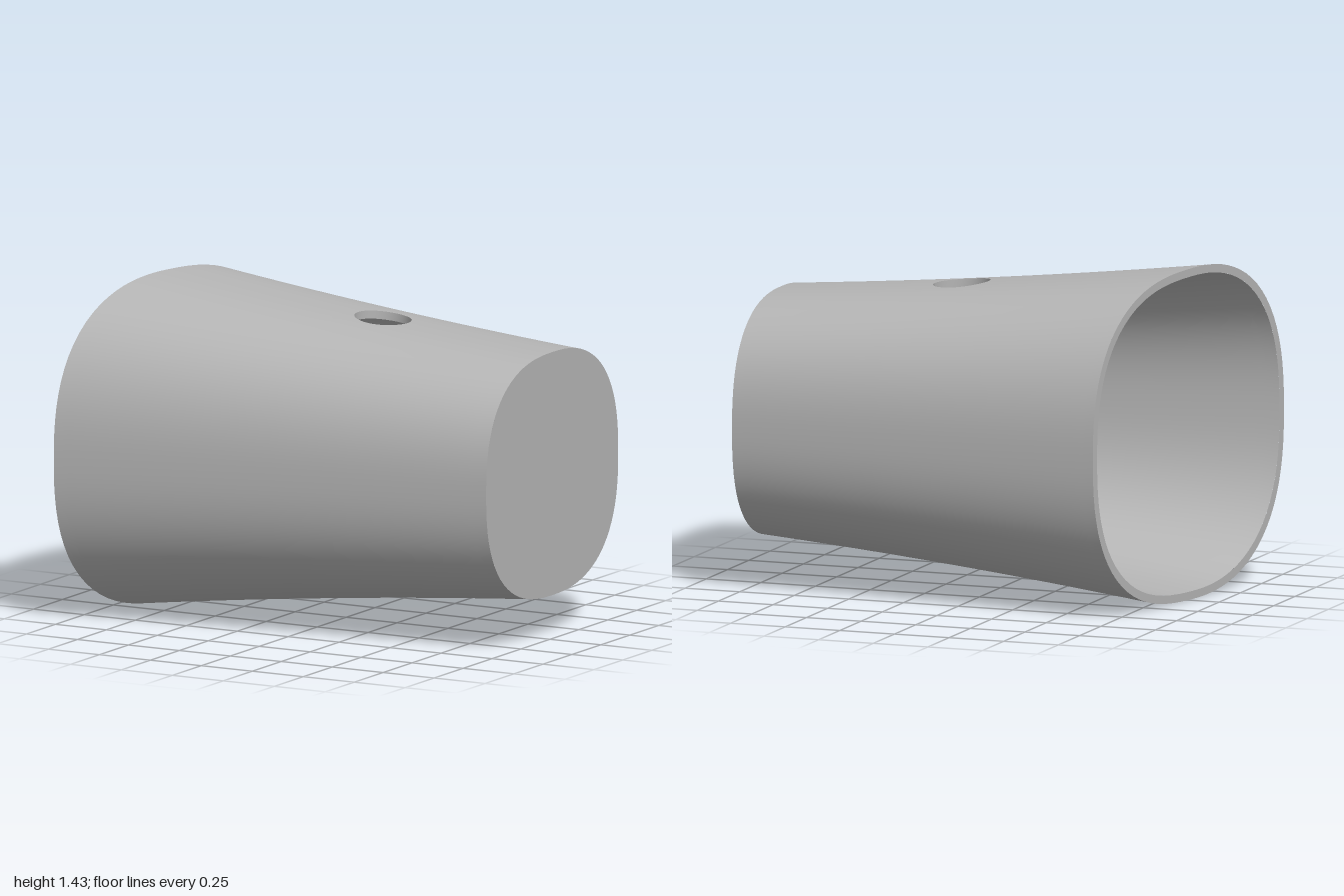
import * as THREE from 'three';
import { mergeGeometries, mergeVertices } from 'three/addons/utils/BufferGeometryUtils.js';

const CY = 0.7225, CZ = -0.02;          // axis of the shell
const POWER = 2.5;                      // squareness of the cross-section
const WALL = 0.035;
const HOLE = { x: 0.17, r: 0.123 };     // drilled through top and bottom
const WIN = { x: 0.18, a: 0.3 };        // half-size of the surface window around each hole

const halfZ = (x, inset) => 0.66 - 0.1075 * x + 0.0175 * x * x - inset;
const halfY = (x, inset) => 0.616 - 0.1033 * x + 0.0153 * x * x - inset;

// Point on the tapered superellipse skin at station x and polar angle a
function skin(x, a, inset) {
  const c = Math.cos(a), s = Math.sin(a);
  const r = (Math.abs(c / halfZ(x, inset)) ** POWER + Math.abs(s / halfY(x, inset)) ** POWER) ** (-1 / POWER);
  return new THREE.Vector3(x, CY + r * s, CZ + r * c);
}

// Station where the slanted mouth plane cuts the skin at angle a
function mouthX(a, inset) {
  let x = -0.86;
  for (let i = 0; i < 8; i++) x = -0.86 - 0.1824 * skin(x, a, inset).z;
  return x;
}

// Grid of quads from a rule (u, v) -> point
function grid(nu, nv, rule, flip = false) {
  const pos = [], index = [];
  for (let i = 0; i <= nu; i++) {
    for (let j = 0; j <= nv; j++) pos.push(...rule(i / nu, j / nv).toArray());
  }
  for (let i = 0; i < nu; i++) {
    for (let j = 0; j < nv; j++) {
      const a = i * (nv + 1) + j, b = a + nv + 1, c = b + 1, d = a + 1;
      index.push(...(flip ? [a, c, b, a, d, c] : [a, b, c, a, c, d]));
    }
  }
  const g = new THREE.BufferGeometry();
  g.setAttribute('position', new THREE.Float32BufferAttribute(pos, 3));
  g.setIndex(index);
  g.computeVertexNormals();
  return g;
}

// Surface coordinates of the hole edge; side is 1 for top, -1 for bottom
function holeEdge(v, side, inset) {
  const phi = v * Math.PI * 2;
  const x = HOLE.x + HOLE.r * Math.cos(phi), dz = -side * HOLE.r * Math.sin(phi);
  const y = side * halfY(x, inset) * (1 - Math.abs(dz / halfZ(x, inset)) ** POWER) ** (1 / POWER);
  return { x, a: Math.atan2(y, dz) + (side < 0 ? Math.PI * 2 : 0) };
}

// Square window boundary, walked evenly round from the middle of its +x side
function squareWave(p) {
  p = (p + 8) % 8;
  return THREE.MathUtils.clamp(2 - Math.min(p, 8 - p), -1, 1);
}

// Whole skin at an inset: bands along x and round the axis, with a ring patch at each hole
function skinGeometry(inset, endX, flip) {
  const patches = [], q = Math.PI / 2, lerp = THREE.MathUtils.lerp;
  const xBands = [
    [a => mouthX(a, inset), () => HOLE.x - WIN.x, 14],
    [() => HOLE.x - WIN.x, () => HOLE.x + WIN.x, 8],
    [() => HOLE.x + WIN.x, () => endX, 10],
  ];
  const aBands = [
    [-q + WIN.a, q - WIN.a, 36, 0], [q - WIN.a, q + WIN.a, 8, 1],
    [q + WIN.a, 3 * q - WIN.a, 36, 0], [3 * q - WIN.a, 3 * q + WIN.a, 8, -1],
  ];
  xBands.forEach(([x0, x1, nx], k) => aBands.forEach(([a0, a1, na, side]) => {
    if (k === 1 && side) {
      patches.push(grid(5, 32, (u, v) => {
        const e = holeEdge(v, side, inset), p = v * 8;
        const x = HOLE.x + WIN.x * squareWave(p);
        const a = (a0 + a1) / 2 + WIN.a * squareWave(p - 2);
        return skin(lerp(e.x, x, u), lerp(e.a, a, u), inset);
      }, flip));
    } else {
      patches.push(grid(nx, na, (u, v) => {
        const a = lerp(a0, a1, v);
        return skin(lerp(x0(a), x1(a), u), a, inset);
      }, flip));
    }
  }));
  const whole = mergeGeometries(patches);
  whole.deleteAttribute('normal');
  const welded = mergeVertices(whole, 1e-4);
  welded.computeVertexNormals();
  return welded;
}

// Flat end disc at station x
function endDisc(x, inset, flip) {
  return grid(1, 96, (u, v) => new THREE.Vector3(x, CY, CZ).lerp(skin(x, v * Math.PI * 2, inset), u), flip);
}

export function createModel() {
  const model = new THREE.Group();
  model.name = 'taperedCup';
  const grey = new THREE.MeshStandardMaterial({ color: 0xb4b4b4 });
  grey.name = 'grey';
  const add = (name, geometry) => {
    const mesh = new THREE.Mesh(geometry, grey);
    mesh.name = name;
    model.add(mesh);
  };

  add('outerShell', skinGeometry(0, 1, false));
  add('innerShell', skinGeometry(WALL, 1 - WALL, true));
  add('endCap', endDisc(1, 0, true));
  add('innerFloor', endDisc(1 - WALL, WALL, false));

  // Slanted rim joining the two skins at the mouth
  add('mouthRim', grid(1, 96, (u, v) => {
    const a = v * Math.PI * 2, inset = WALL * (1 - u);
    return skin(mouthX(a, inset), a, inset);
  }));

  // Walls of the two drilled holes
  for (const [name, side] of [['topHoleWall', 1], ['bottomHoleWall', -1]]) {
    add(name, grid(1, 32, (u, v) => {
      const e = holeEdge(v, side, WALL * u);
      return skin(e.x, e.a, WALL * u);
    }, true));
  }
  return model;
}
